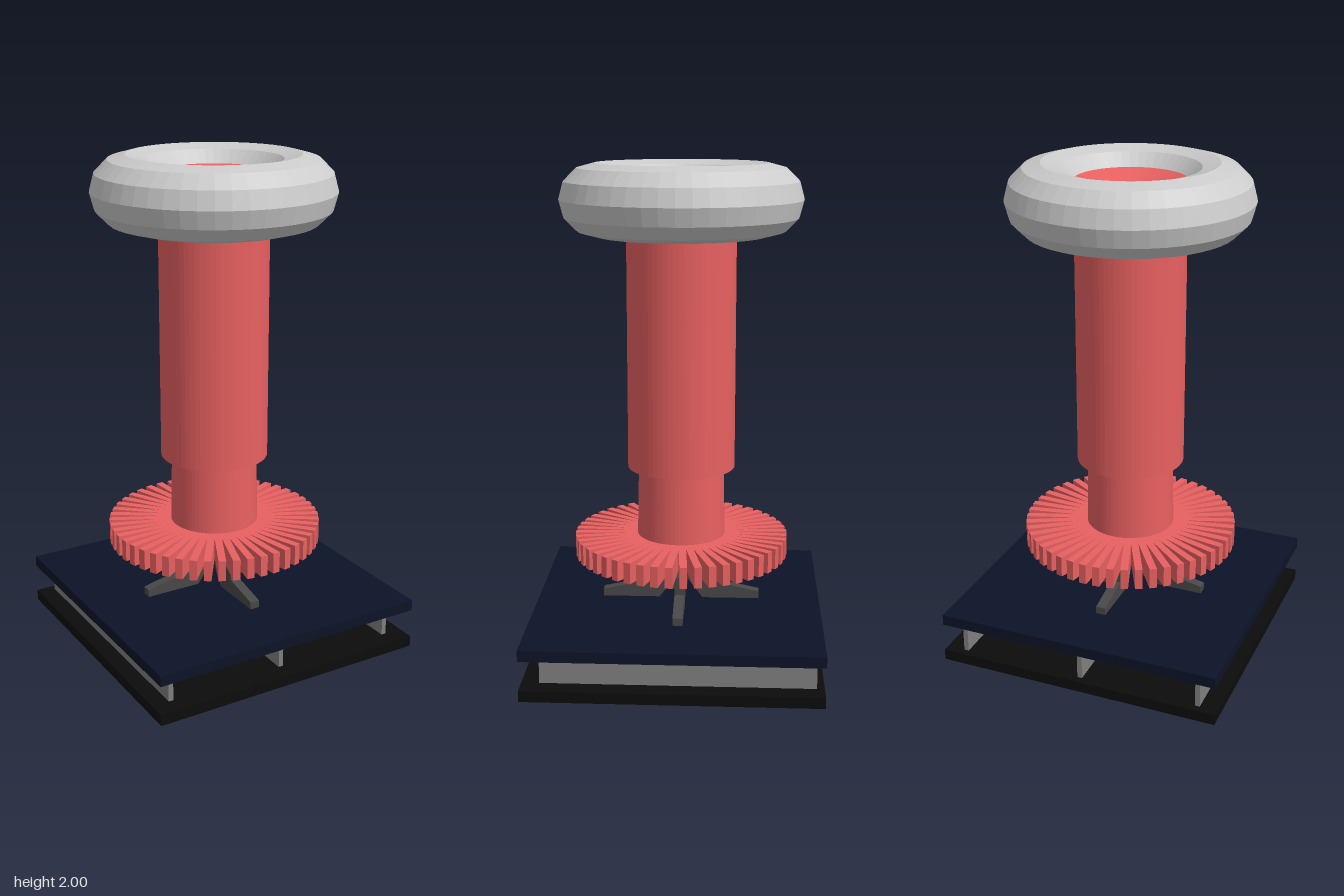
import * as THREE from 'three';

export function createModel() {
  const model = new THREE.Group();
  const mat = (color) => new THREE.MeshStandardMaterial({ color, flatShading: true, side: THREE.DoubleSide });
  const red = mat(0xe86060), grey = mat(0xcccccc), navy = mat(0x0d1328);
  const black = mat(0x0c0c0c), dark = mat(0x484848), wallGrey = mat(0x808080);

  const add = (parent, name, geometry, material, x = 0, y = 0, z = 0) => {
    const mesh = new THREE.Mesh(geometry, material);
    mesh.name = name;
    mesh.position.set(x, y, z);
    parent.add(mesh);
    return mesh;
  };
  const lathe = (points) => new THREE.LatheGeometry(points.map(([r, y]) => new THREE.Vector2(r, y)), 64);

  // Two square plates held apart by three upright walls
  add(model, 'lowerPlate', new THREE.BoxGeometry(1.17, 0.045, 1.17), black, 0, 0.0225, 0);
  add(model, 'upperPlate', new THREE.BoxGeometry(1.17, 0.045, 1.17), navy, 0, 0.1875, 0);
  for (const x of [-0.505, -0.01, 0.5]) {
    add(model, 'spacerWall', new THREE.BoxGeometry(0.02, 0.12, 1.07), wallGrey, x, 0.105, -0.02);
  }

  // Everything above the plates shares one axis, slightly off centre
  const tower = new THREE.Group();
  tower.name = 'tower';
  tower.position.set(-0.008, 0, -0.01);
  model.add(tower);

  // Four notched arms meeting in a narrow waist
  const armShape = new THREE.Shape([
    [0, 0.28], [0.03, 0.29], [0.09, 0.21], [0.325, 0.21], [0.325, 0.24], [0.165, 0.275],
    [0.165, 0.345], [0.325, 0.365], [0.325, 0.41], [0.09, 0.41], [0.03, 0.33], [0, 0.34],
  ].map(([x, y]) => new THREE.Vector2(x, y)));
  const armGeometry = new THREE.ExtrudeGeometry(armShape, { depth: 0.04, bevelEnabled: false });
  armGeometry.translate(0, 0, -0.02);
  const stand = new THREE.Group();
  stand.name = 'stand';
  tower.add(stand);
  for (let i = 0; i < 4; i++) add(stand, 'standArm', armGeometry, dark).rotation.y = i * Math.PI / 2;

  // Ring of radial fins
  const fins = new THREE.Group();
  fins.name = 'finRing';
  tower.add(fins);
  const finGeometry = new THREE.BoxGeometry(0.32, 0.085, 0.03);
  finGeometry.translate(0.277, 0.4525, 0);
  const finCount = 48;
  for (let i = 0; i < finCount; i++) {
    add(fins, 'fin', finGeometry, red).rotation.y = (i + 0.5) * 2 * Math.PI / finCount;
  }
  add(fins, 'finHub', new THREE.CylinderGeometry(0.18, 0.18, 0.085, 64), red, 0, 0.4525, 0);

  // Lower column slides up into the open end of the upper column
  add(tower, 'lowerColumn', new THREE.CylinderGeometry(0.17, 0.18, 0.5, 64), red, 0, 0.74, 0);
  add(tower, 'upperColumn', lathe([[0.218, 0.78], [0.218, 1.93], [0.012, 1.86], [0, 1.86]]), red);
  add(tower, 'columnCollar', lathe([[0.218, 1.735], [0.262, 1.742], [0.262, 1.78], [0.218, 1.8]]), red);

  // Ring on top
  add(tower, 'topRing', new THREE.TorusGeometry(0.34, 0.14, 12, 48), grey, 0, 1.86, 0).rotation.x = Math.PI / 2;

  return model;
}
